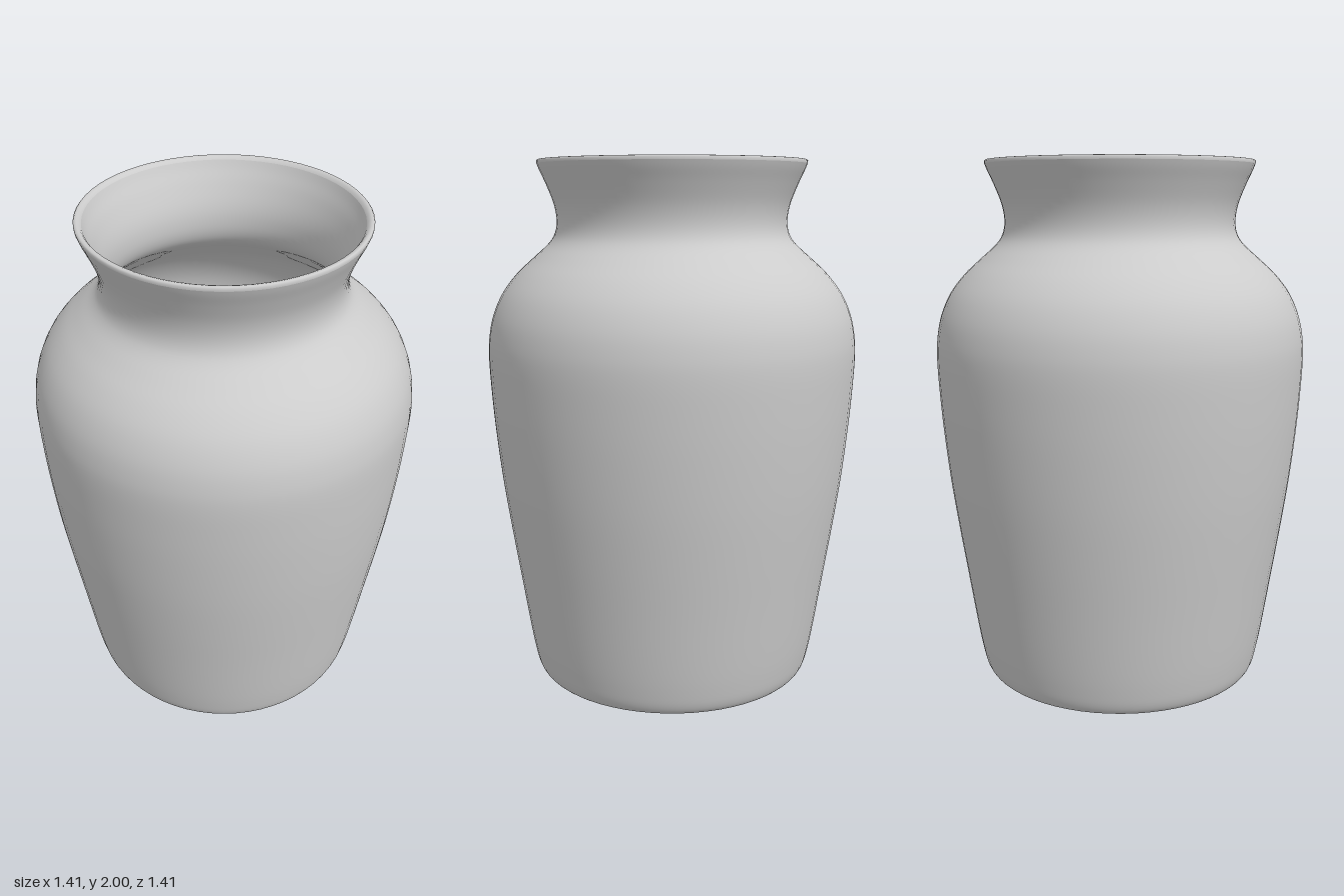
import * as THREE from 'three';

const toPoints = (pairs) => pairs.map(([r, y]) => new THREE.Vector2(r, y));
const smooth = (pairs, steps) => new THREE.SplineCurve(toPoints(pairs)).getPoints(steps);

export function createModel() {
  const group = new THREE.Group();
  group.name = 'vase';

  const glaze = new THREE.MeshStandardMaterial({ color: 0xcccccc });
  glaze.name = 'plain grey';

  const addLathe = (name, points) => {
    const mesh = new THREE.Mesh(new THREE.LatheGeometry(points, 64), glaze);
    mesh.name = name;
    group.add(mesh);
  };

  // Underside: shallow recess inside a foot ring
  addLathe('foot', toPoints([
    [0, 0.03], [0.3, 0.03], [0.34, 0.025], [0.37, 0.008], [0.4, 0.001], [0.44, 0], [0.49, 0],
  ]));

  // Outer wall: rounded foot, tapered body, shoulder, neck and flared mouth
  addLathe('outerWall', smooth([
    [0.49, 0], [0.525, 0.01], [0.545, 0.04], [0.56, 0.1], [0.578, 0.2], [0.609, 0.4],
    [0.64, 0.6], [0.668, 0.8], [0.689, 1.0], [0.7, 1.15], [0.705, 1.27], [0.7, 1.35],
    [0.682, 1.43], [0.645, 1.51], [0.59, 1.58], [0.525, 1.64], [0.47, 1.69], [0.445, 1.73],
    [0.438, 1.78], [0.448, 1.84], [0.475, 1.91], [0.498, 1.96], [0.508, 1.985],
  ], 90));

  // Rounded lip
  addLathe('rim', toPoints([
    [0.508, 1.985], [0.509, 1.994], [0.505, 1.999], [0.498, 2], [0.489, 1.997], [0.482, 1.988],
  ]));

  // Inner wall, running down parallel to the outside
  addLathe('innerWall', smooth([
    [0.482, 1.988], [0.47, 1.96], [0.446, 1.91], [0.42, 1.84], [0.41, 1.78], [0.415, 1.72],
    [0.44, 1.67], [0.5, 1.615], [0.57, 1.55], [0.622, 1.48], [0.656, 1.41], [0.672, 1.34],
    [0.675, 1.27], [0.66, 1.0], [0.611, 0.6], [0.58, 0.4], [0.549, 0.2], [0.53, 0.12],
    [0.505, 0.07], [0.46, 0.05],
  ], 80));

  // Inside floor
  addLathe('innerFloor', toPoints([[0.46, 0.05], [0, 0.05]]));

  return group;
}
